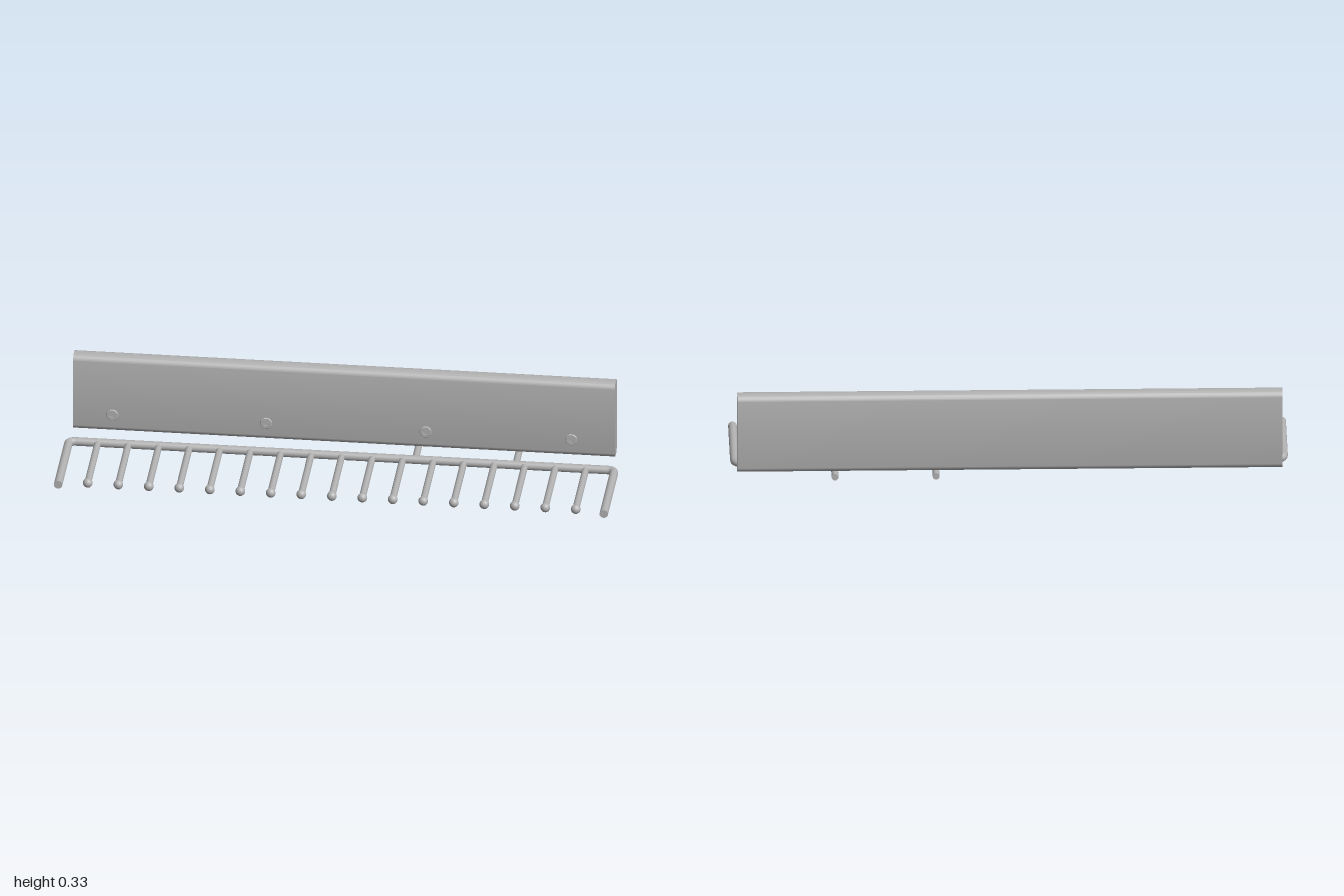
import * as THREE from 'three';
import { toCreasedNormals } from 'three/addons/utils/BufferGeometryUtils.js';

const ROD_Y = 0.019;

export function createModel() {
  const model = new THREE.Group();
  model.name = 'prongRack';
  const grey = new THREE.MeshStandardMaterial({ color: 0xb2b2b2 });
  grey.name = 'grey';

  const add = (name, geometry, x = 0, y = 0, z = 0, parent = model) => {
    const mesh = new THREE.Mesh(geometry, grey);
    mesh.name = name;
    mesh.position.set(x, y, z);
    parent.add(mesh);
    return mesh;
  };
  // Round rod running along z between two depths
  const rod = (radius, z0, z1) =>
    new THREE.CylinderGeometry(radius, radius, z1 - z0, 16)
      .rotateX(Math.PI / 2).translate(0, 0, (z0 + z1) / 2);

  // Back board: rounded section swept along x
  const hw = 0.0325, hh = 0.149, r = 0.024, length = 1.954;
  const section = new THREE.Shape();
  section.absarc(hw - r, hh - r, r, 0, Math.PI / 2);
  section.absarc(r - hw, hh - r, r, Math.PI / 2, Math.PI);
  section.absarc(r - hw, r - hh, r, Math.PI, Math.PI * 1.5);
  section.absarc(hw - r, r - hh, r, Math.PI * 1.5, Math.PI * 2);
  const board = new THREE.ExtrudeGeometry(section, { depth: length, bevelEnabled: false, curveSegments: 8 });
  board.translate(0, 0, -length / 2).rotateY(Math.PI / 2);
  add('backBoard', toCreasedNormals(board, 0.6), 0, 0.18, -0.1975);

  // Bent frame: left arm, rear rail and right arm in one tube
  const armX = 0.984, railZ = -0.1, frontZ = 0.24, bend = 0.025, frameR = 0.0155;
  const p = (x, z) => new THREE.Vector3(x, 0, z);
  const path = new THREE.CurvePath();
  path.add(new THREE.LineCurve3(p(-armX, frontZ), p(-armX, railZ + bend)));
  path.add(new THREE.QuadraticBezierCurve3(p(-armX, railZ + bend), p(-armX, railZ), p(bend - armX, railZ)));
  path.add(new THREE.LineCurve3(p(bend - armX, railZ), p(armX - bend, railZ)));
  path.add(new THREE.QuadraticBezierCurve3(p(armX - bend, railZ), p(armX, railZ), p(armX, railZ + bend)));
  path.add(new THREE.LineCurve3(p(armX, railZ + bend), p(armX, frontZ)));
  add('frame', new THREE.TubeGeometry(path, 360, frameR, 16), 0, ROD_Y);
  for (const side of [-1, 1]) {
    add('frameEndCap', new THREE.CircleGeometry(frameR, 16), side * armX, ROD_Y, frontZ);
  }

  // Row of prongs with ball tips
  const prongGeometry = rod(0.0125, railZ, 0.212);
  const tipGeometry = new THREE.SphereGeometry(0.0175, 16, 12);
  for (let i = -8; i <= 8; i++) {
    const prong = new THREE.Group();
    prong.name = 'prong';
    prong.position.set(i * 0.11, ROD_Y - 0.0005, 0);
    add('prongRod', prongGeometry, 0, 0, 0, prong);
    add('prongTip', tipGeometry, 0, 0, 0.212, prong);
    model.add(prong);
  }

  // Two support pegs passing under the board
  const pegGeometry = rod(0.0125, -0.24, railZ);
  for (const x of [0.265, 0.627]) add('supportPeg', pegGeometry, x, ROD_Y - 0.0005);

  // Screw heads with a recessed centre on the board's front
  const profile = [[0.022, -0.002], [0.022, 0.003], [0.02, 0.005], [0.009, 0.005], [0.009, 0.001], [0, 0.001]]
    .map(([x, y]) => new THREE.Vector2(x, y));
  const screw = toCreasedNormals(new THREE.LatheGeometry(profile, 20).rotateX(Math.PI / 2), 0.5);
  for (const x of [-0.835, -0.28, 0.295, 0.82]) add('screwHead', screw, x, 0.1, -0.165);

  return model;
}
